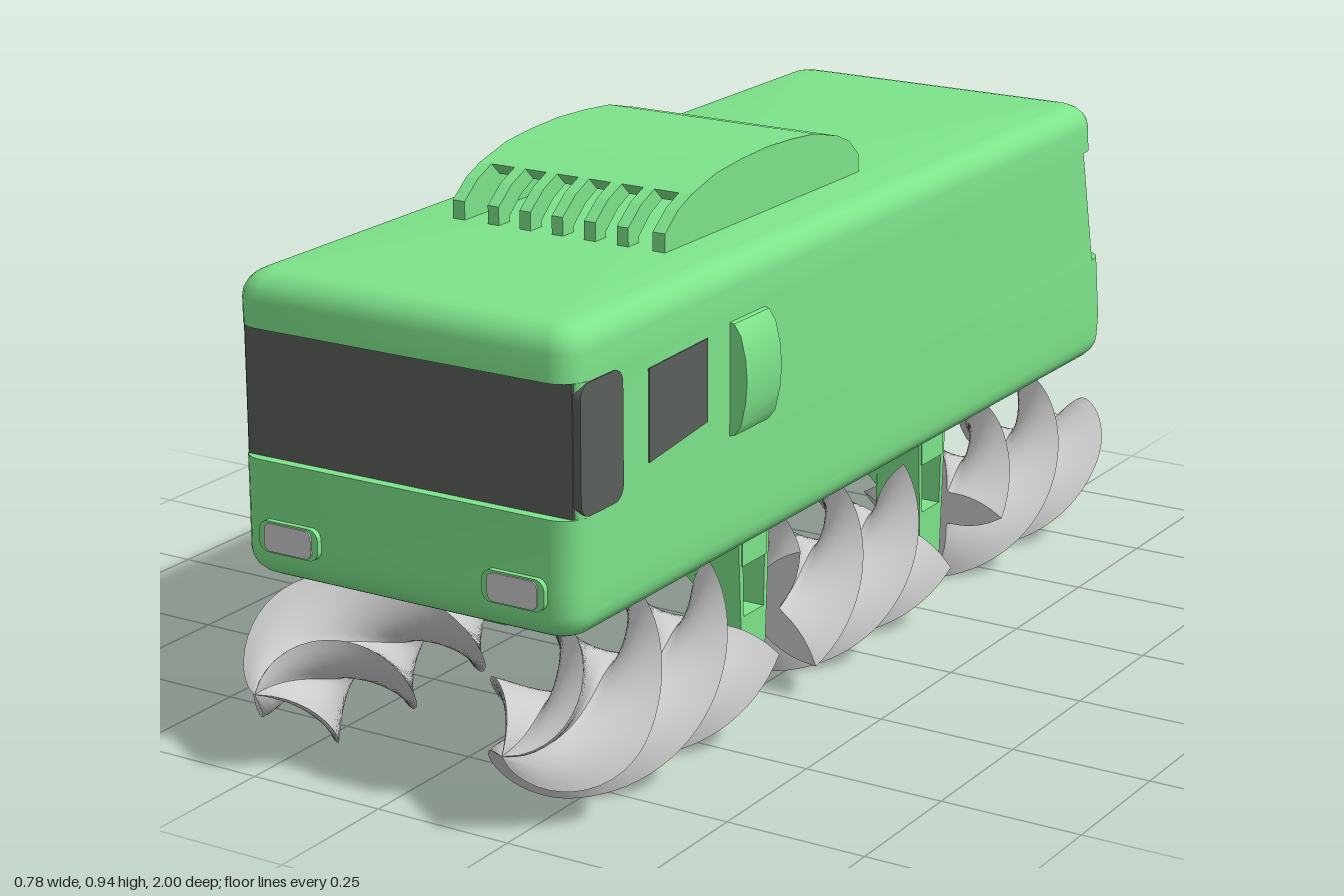
import * as THREE from 'three';
import { toCreasedNormals } from 'three/addons/utils/BufferGeometryUtils.js';

const green = new THREE.MeshStandardMaterial({ color: 0x7de38a });
const glass = new THREE.MeshStandardMaterial({ color: 0x5a5f5a });
const grey = new THREE.MeshStandardMaterial({ color: 0xcccccc });

// Closed skin through rings of points, with fan caps at both ends
function loft(rings, crease) {
  const n = rings[0].length, pos = [], idx = [];
  rings.flat().forEach(p => pos.push(...p));
  for (let j = 0; j < rings.length - 1; j++)
    for (let i = 0; i < n; i++) {
      const a = j * n + i, b = j * n + (i + 1) % n;
      idx.push(a, a + n, b, b, a + n, b + n);
    }
  [0, rings.length - 1].forEach((j, last) => {
    const c = pos.length / 3;
    pos.push(...[0, 1, 2].map(k => rings[j].reduce((s, p) => s + p[k], 0) / n));
    for (let i = 0; i < n; i++) {
      const a = j * n + i, b = j * n + (i + 1) % n;
      last ? idx.push(c, b, a) : idx.push(c, a, b);
    }
  });
  const g = new THREE.BufferGeometry();
  g.setAttribute('position', new THREE.Float32BufferAttribute(pos, 3));
  g.setIndex(idx);
  return toCreasedNormals(g, crease);
}

// Horizontal rounded rectangle at height y
function planRing(y, hw, zFront, zBack, r) {
  const pts = [];
  for (let q = 0; q < 4; q++)
    for (let s = 0; s <= 5; s++) {
      const a = (q + s / 5) * Math.PI / 2;
      const cx = (q === 0 || q === 3 ? 1 : -1) * (hw - r);
      const cz = q < 2 ? zFront - r : zBack + r;
      pts.push([cx + r * Math.cos(a), y, cz + r * Math.sin(a)]);
    }
  return pts;
}

const poly = pts => new THREE.Shape(pts.map(p => new THREE.Vector2(...p)));

function roundRect(x0, x1, y0, y1, r) {
  const s = new THREE.Shape();
  s.absarc(x1 - r, y0 + r, r, -Math.PI / 2, 0);
  s.absarc(x1 - r, y1 - r, r, 0, Math.PI / 2);
  s.absarc(x0 + r, y1 - r, r, Math.PI / 2, Math.PI);
  s.absarc(x0 + r, y0 + r, r, Math.PI, Math.PI * 1.5);
  return s;
}

const extrude = (shape, depth) =>
  new THREE.ExtrudeGeometry(shape, { depth, bevelEnabled: false, curveSegments: 5 });

// Extrude a (z, y) outline between two x positions
const extrudeX = (shape, x0, x1) =>
  extrude(shape, x1 - x0).rotateY(-Math.PI / 2).translate(x1, 0, 0);

// Four-bladed screw between z0 (back) and z1 (front), tapered at an optional tip
function screw(z0, z1, phaseZ, dir, tip) {
  const rings = [], steps = 44, n = 56, R = 0.145, hub = 0.045;
  for (let j = 0; j <= steps; j++) {
    const z = z1 + (z0 - z1) * j / steps;
    const t = tip ? Math.min(1, (1 - Math.abs(z)) / 0.2) : 1;
    const f = Math.max(0.01, Math.sin(t * Math.PI / 2) ** 0.8);
    const twist = dir * 2 * Math.PI * (z - phaseZ) / 0.8;
    rings.push(Array.from({ length: n }, (_, i) => {
      const k = (i % 14) / 7, u = Math.min(k, 2 - k);
      const r = f * (hub + (R - hub) * (1 - u) ** 1.7);
      const a = i / n * 2 * Math.PI + twist;
      return [r * Math.cos(a), r * Math.sin(a), z];
    }));
  }
  return loft(rings, 0.8);
}

export function createModel() {
  const model = new THREE.Group();
  const add = (name, geo, mat = green, parent = model) => {
    const m = new THREE.Mesh(geo, mat);
    m.name = name;
    parent.add(m);
    return m;
  };

  // Hull: rounded tub, inset window band, rounded roof
  const W = 0.327, R = 0.045, lower = [], upper = [];
  for (let s = 0; s <= 5; s++) {
    const a = s / 5 * Math.PI / 2;
    const inset = R * (1 - Math.sin(a)), h = R * (1 - Math.cos(a));
    lower.push(planRing(0.315 + h, W - inset, 0.92 - inset, -0.94 + inset, 0.046 - inset * 0.5));
    upper.unshift(planRing(0.83 - h, W - inset, 0.92 - inset, -0.875 + inset, 0.046 - inset * 0.5));
  }
  lower.push(planRing(0.4, W, 0.92, -0.945, 0.046), planRing(0.52, W, 0.92, -0.928, 0.046));
  upper.unshift(planRing(0.74, W, 0.92, -0.88, 0.046));
  add('lowerBody', loft(lower, 0.6));
  add('windowBand', loft([planRing(0.52, W, 0.898, -0.885, 0.015), planRing(0.74, W, 0.898, -0.835, 0.015)], 0.6));
  add('roof', loft(upper, 0.6));

  // Windscreen and rear window, each wrapping round one corner
  add('windscreen', new THREE.BoxGeometry(0.63, 0.22, 0.01).translate(0, 0.63, 0.897), glass);
  const rear = add('rearWindow', new THREE.BoxGeometry(0.63, 0.226, 0.01), glass);
  rear.position.set(0, 0.63, -0.861);
  rear.rotation.x = 0.224;
  add('windscreenCorner', extrudeX(roundRect(0.78, 0.9, 0.522, 0.738, 0.025), 0.31, 0.329), glass);
  const corner = poly([[-0.883, 0.522], [-0.77, 0.522], [-0.75, 0.545], [-0.75, 0.715], [-0.77, 0.738], [-0.834, 0.738]]);
  add('rearWindowCorner', extrudeX(corner, -0.329, -0.31), glass);

  // Side windows
  add('sideWindow', extrudeX(poly([[0.53, 0.58], [0.705, 0.56], [0.705, 0.715], [0.53, 0.72]]), 0.32, 0.329), glass);
  [[-0.57, -0.38, 0.565, 0.575], [-0.14, 0.05, 0.6, 0.61], [0.12, 0.3, 0.645, 0.655]].forEach(([a, b, ya, yb]) =>
    add('sideWindow', extrudeX(poly([[a, ya], [b, yb], [b, 0.72], [a, 0.72]]), -0.329, -0.32), glass));

  // Door with window and handle
  add('door', extrudeX(roundRect(-0.36, -0.15, 0.4, 0.73, 0.025), -0.335, -0.32));
  add('doorWindow', extrudeX(poly([[-0.335, 0.585], [-0.175, 0.595], [-0.175, 0.71], [-0.335, 0.71]]), -0.337, -0.33), glass);
  add('doorHandle', new THREE.BoxGeometry(0.008, 0.012, 0.03).translate(-0.338, 0.555, -0.33));

  // Domed side pod
  const dome = poly([[0.32, 0.535], [0.335, 0.537], [0.348, 0.555], [0.357, 0.595], [0.36, 0.633],
    [0.357, 0.67], [0.348, 0.708], [0.335, 0.727], [0.32, 0.73]]);
  add('sidePod', toCreasedNormals(extrude(dome, 0.11).translate(0, 0, 0.35), 0.6));

  // Headlights and tail lights
  for (const s of [-1, 1]) {
    const x = s * 0.219;
    add('headlightFrame', extrude(roundRect(x - 0.059, x + 0.059, 0.368, 0.422, 0.018), 0.03).translate(0, 0, 0.9));
    add('headlight', extrude(roundRect(x - 0.047, x + 0.047, 0.371, 0.419, 0.012), 0.03).translate(0, 0, 0.903), grey);
    for (const lx of [0.17, 0.25])
      add('tailLight', new THREE.CylinderGeometry(0.028, 0.028, 0.03, 20).rotateX(Math.PI / 2).translate(s * lx, 0.4, -0.938), grey);
  }

  // Arched roof vent: solid sides, cover, and ribs showing at both open ends
  const vent = new THREE.Group();
  vent.name = 'roofVent';
  model.add(vent);
  const arch = [[0.47, 0.825], [0.47, 0.862], [0.43, 0.893], [0.39, 0.91], [0.31, 0.93], [0.23, 0.937], [0.15, 0.94],
    [0.07, 0.937], [-0.01, 0.93], [-0.09, 0.91], [-0.13, 0.893], [-0.165, 0.862], [-0.165, 0.825]];
  const inner = arch.map(([z, y]) => [0.152 + (z - 0.152) * 0.9, y < 0.83 ? y : y - 0.022]);
  const band = (a, b) => poly([...arch.slice(a, b), ...inner.slice(a, b).reverse()]);
  for (const s of [-1, 1])
    add('ventSide', extrudeX(poly(arch), s * 0.198 - 0.012, s * 0.198 + 0.012), green, vent);
  add('ventCover', toCreasedNormals(extrudeX(band(3, 10), -0.2, 0.2), 0.5), green, vent);
  for (let i = -2; i <= 2; i++)
    add('ventRib', extrudeX(band(0, 13), i * 0.064 - 0.011, i * 0.064 + 0.011), green, vent);

  // Cross beams and legs between the screws
  for (const z of [0.317, -0.31]) {
    const beam = poly([[-0.29, 0.32], [-0.29, 0.27], [0.29, 0.27], [0.29, 0.32]]);
    add('crossBeam', extrude(beam, 0.08).translate(0, 0, z - 0.04));
    const leg = poly([[z - 0.05, 0.32], [z - 0.036, 0.065], [z + 0.036, 0.065], [z + 0.05, 0.32]]);
    leg.holes.push(new THREE.Path([[-0.032, 0.178], [-0.035, 0.27], [0.035, 0.27], [0.032, 0.178]]
      .map(([a, b]) => new THREE.Vector2(z + a, b))));
    for (const s of [-1, 1]) {
      add('leg', extrudeX(leg, s * 0.243 - 0.045, s * 0.243 + 0.045));
      const brace = poly([[s * 0.2, 0.275], [s * 0.14, 0.275], [s * 0.2, 0.22]]);
      add('legBrace', extrude(brace, 0.012).translate(0, 0, z - 0.047));
      add('legBrace', extrude(brace, 0.012).translate(0, 0, z + 0.035));
    }
  }

  // Drive screws, mirrored in handedness
  for (const s of [-1, 1])
    [[0.4, 1, 0.6, true], [-0.215, 0.23, 0.15, false], [-1, -0.4, -0.6, true]].forEach(([z0, z1, ph, tip]) =>
      add('driveScrew', screw(z0, z1, ph, -s, tip), grey).position.set(s * 0.243, 0.148, 0));

  return model;
}
